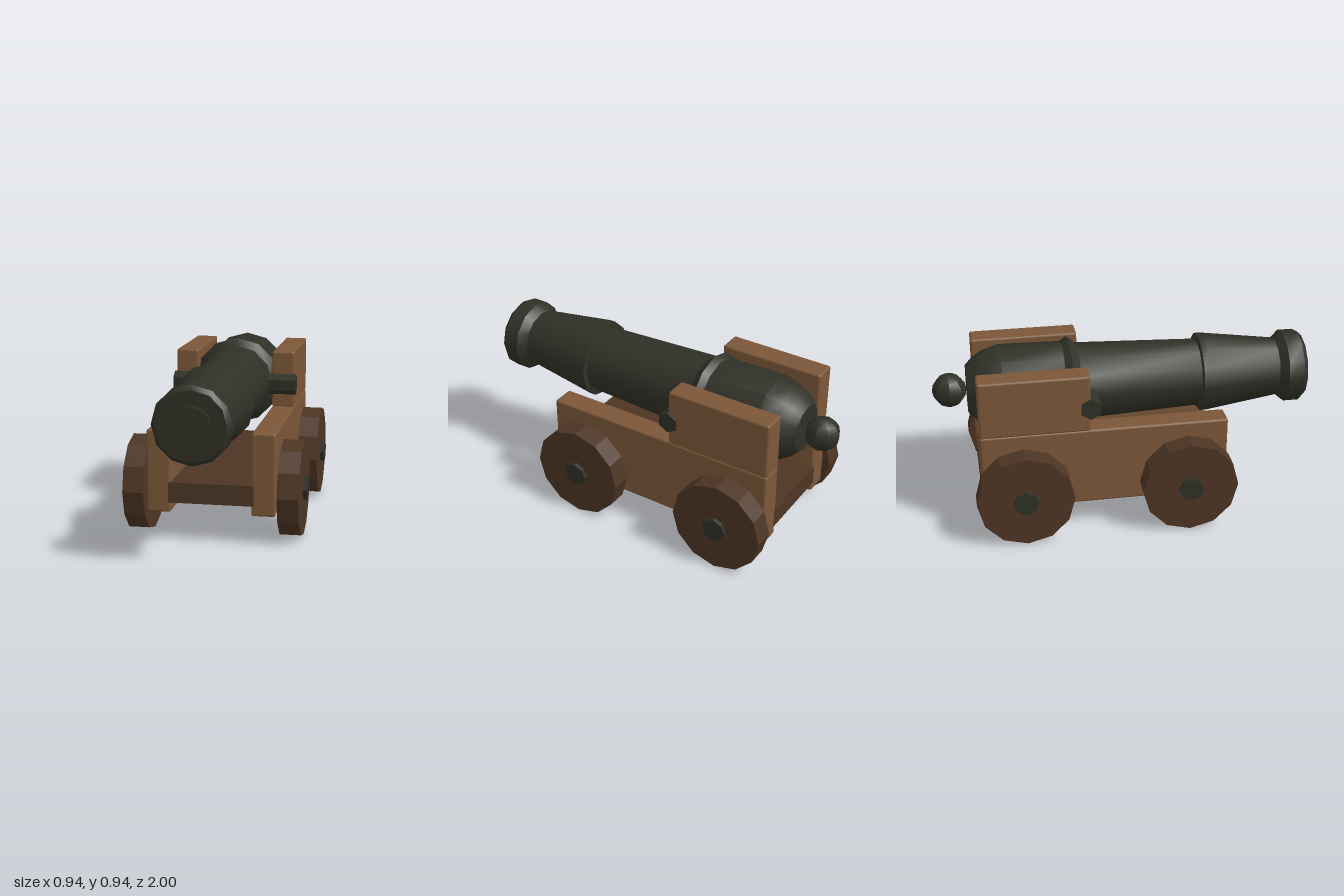
import * as THREE from 'three';
import { toCreasedNormals } from 'three/addons/utils/BufferGeometryUtils.js';
import { RoundedBoxGeometry } from 'three/addons/geometries/RoundedBoxGeometry.js';

const material = (name, color) => {
  const m = new THREE.MeshStandardMaterial({ color });
  m.name = name;
  return m;
};

export function createModel() {
  const iron = material('dark iron', 0x2f3026);
  const oak = material('oak', 0x7c5738);
  const darkWood = material('dark wood', 0x4d3524);
  const model = new THREE.Group();

  const add = (name, geometry, mat, x = 0, y = 0, z = 0) => {
    const mesh = new THREE.Mesh(geometry, mat);
    mesh.name = name;
    mesh.position.set(x, y, z);
    model.add(mesh);
    return mesh;
  };

  // Solid cylinder lying along x, with a corner pointing up or along z
  const drum = (radius, width, sides) =>
    toCreasedNormals(new THREE.CylinderGeometry(radius, radius, width, sides).rotateZ(Math.PI / 2), 0.3);

  // Barrel: [radius, z] from the breech to the muzzle
  const AXIS_Y = 0.7;
  const profile = [
    [0, -0.82], [0.125, -0.82], [0.165, -0.78], [0.195, -0.73], [0.222, -0.64],
    [0.216, -0.315], [0.24, -0.28], [0.203, -0.235],
    [0.178, 0.405], [0.208, 0.41], [0.208, 0.445],
    [0.155, 0.834], [0.193, 0.875], [0.193, 0.957], [0.172, 0.98], [0, 0.98],
  ].map(([r, z]) => new THREE.Vector2(r, z));
  const barrel = new THREE.LatheGeometry(profile, 12).rotateX(Math.PI / 2);
  add('barrel', toCreasedNormals(barrel, 0.56), iron, 0, AXIS_Y, 0);

  // Bore disc and breech knob
  const bore = new THREE.CylinderGeometry(0.1, 0.1, 0.04, 12).rotateX(Math.PI / 2);
  add('muzzleBore', toCreasedNormals(bore, 0.56), iron, 0, AXIS_Y, 0.98);
  const knob = new THREE.SphereGeometry(0.09, 8, 8);
  add('breechKnob', toCreasedNormals(knob, 0.56), iron, 0, AXIS_Y, -0.91);

  // Trunnion bar across the barrel
  add('trunnion', drum(0.057, 0.68, 6).rotateX(Math.PI / 2), iron, 0, AXIS_Y, -0.21);

  // Carriage floor
  add('carriageFloor', new THREE.BoxGeometry(0.44, 0.106, 1.294), darkWood, 0, 0.252, -0.135);

  for (const side of [1, -1]) {
    const label = side > 0 ? 'left' : 'right';
    // Stepped cheek boards
    add(label + 'LowerCheek', new RoundedBoxGeometry(0.123, 0.428, 1.29, 2, 0.012), oak, side * 0.2685, 0.361, -0.135);
    add(label + 'UpperCheek', new RoundedBoxGeometry(0.123, 0.31, 0.57, 2, 0.012), oak, side * 0.2685, 0.725, -0.495);

    // Wheels with iron hubs
    for (const [end, z] of [['Front', 0.295], ['Rear', -0.566]]) {
      add(label + end + 'Wheel', drum(0.252, 0.109, 12), darkWood, side * 0.3955, 0.252, z);
      add(label + end + 'Hub', drum(0.064, 0.145, 8), iron, side * 0.3985, 0.252, z);
    }
  }
  return model;
}
